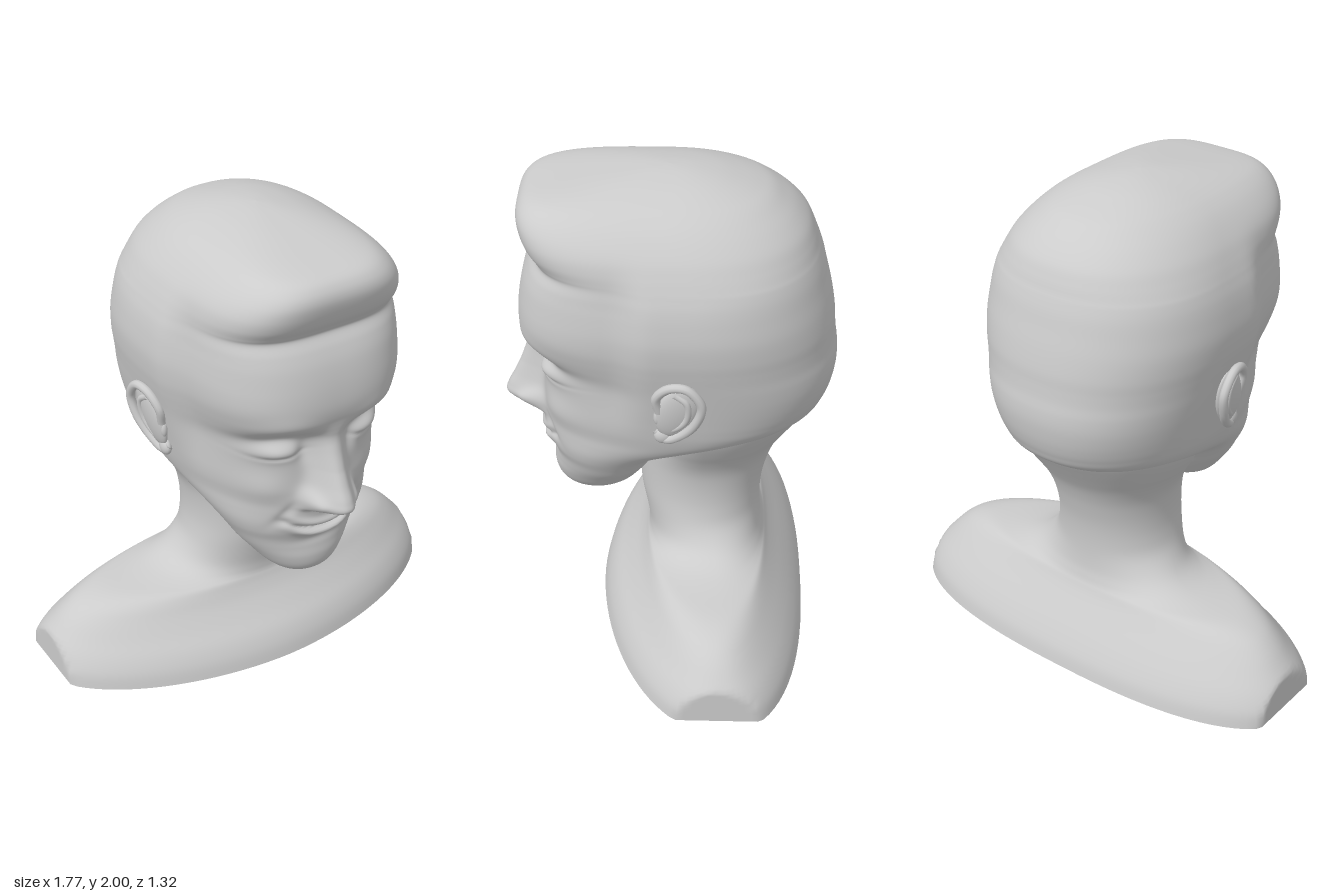
import * as THREE from 'three';

const material = new THREE.MeshStandardMaterial({ color: 0xcccccc, side: THREE.DoubleSide });
const step = THREE.MathUtils.smoothstep;
const bell = (d, s) => Math.exp(-((d / s) ** 2));

// Cross-sections from bottom to top: [y, half width, front z, back z]
const headSections = [
  [0.54, 0, 0.36, 0.36], [0.55, 0.08, 0.4, 0.28], [0.575, 0.13, 0.44, 0.19], [0.61, 0.168, 0.465, 0.13],
  [0.66, 0.207, 0.475, 0.09], [0.71, 0.245, 0.472, 0.06], [0.76, 0.275, 0.475, 0.03], [0.81, 0.305, 0.492, -0.02],
  [0.86, 0.335, 0.505, -0.13], [0.91, 0.365, 0.515, -0.32], [0.96, 0.39, 0.515, -0.51], [1.01, 0.408, 0.51, -0.598],
  [1.06, 0.42, 0.505, -0.628], [1.11, 0.43, 0.505, -0.645], [1.16, 0.44, 0.51, -0.655], [1.21, 0.45, 0.52, -0.66],
  [1.26, 0.46, 0.535, -0.658], [1.31, 0.47, 0.56, -0.65], [1.36, 0.48, 0.578, -0.645], [1.42, 0.49, 0.585, -0.64],
  [1.5, 0.495, 0.578, -0.625], [1.58, 0.487, 0.56, -0.605], [1.64, 0.475, 0.535, -0.59], [1.685, 0.46, 0.508, -0.575],
  [1.71, 0.45, 0.518, -0.565], [1.75, 0.432, 0.545, -0.55], [1.8, 0.405, 0.565, -0.525], [1.85, 0.367, 0.573, -0.48],
  [1.89, 0.328, 0.56, -0.43], [1.92, 0.288, 0.525, -0.385], [1.94, 0.252, 0.45, -0.335], [1.96, 0.205, 0.33, -0.27],
  [1.98, 0.14, 0.2, -0.19], [1.995, 0.06, 0.08, -0.09], [2, 0, 0, 0],
];
const bustSections = [
  [0, 0.955, 0.282, -0.57], [0.06, 0.945, 0.265, -0.555], [0.12, 0.912, 0.232, -0.525], [0.18, 0.862, 0.18, -0.488],
  [0.24, 0.805, 0.132, -0.448], [0.285, 0.74, 0.105, -0.42], [0.315, 0.645, 0.092, -0.405], [0.33, 0.5, 0.087, -0.398],
  [0.35, 0.4, 0.085, -0.392], [0.39, 0.325, 0.087, -0.383], [0.46, 0.272, 0.1, -0.378], [0.54, 0.25, 0.115, -0.38],
  [0.62, 0.245, 0.12, -0.39], [0.7, 0.252, 0.12, -0.41], [0.76, 0.268, 0.115, -0.43], [0.82, 0.297, 0.1, -0.457],
  [0.88, 0.333, 0.09, -0.495], [0.95, 0.37, 0.08, -0.543], [1.01, 0.392, 0.06, -0.583], [1.07, 0.4, 0.04, -0.605],
];

// Smooth interpolation between the rows of a table
function sample(table, s) {
  const last = table.length - 1;
  const i = Math.min(Math.floor(s), last - 1);
  const t = s - i;
  const at = (k) => table[THREE.MathUtils.clamp(k, 0, last)];
  return table[i].map((_, c) => {
    const a = at(i - 1)[c], b = at(i)[c], d = at(i + 1)[c], e = at(i + 2)[c];
    return b + 0.5 * t * (d - a + t * (2 * a - 5 * b + 4 * d - e + t * (3 * (b - d) + e - a)));
  });
}

// Closed rings around y; angle 0 faces the front
function loft(table, perRow, columns, place) {
  const rows = (table.length - 1) * perRow;
  const positions = [], index = [];
  for (let i = 0; i <= rows; i++) {
    const section = sample(table, i / perRow);
    for (let j = 0; j < columns; j++) {
      positions.push(...place(section, (j / columns) * Math.PI * 2));
      if (i === rows) continue;
      const a = i * columns + j, b = i * columns + ((j + 1) % columns);
      index.push(a, b, b + columns, a, b + columns, a + columns);
    }
  }
  const geometry = new THREE.BufferGeometry();
  geometry.setAttribute('position', new THREE.Float32BufferAttribute(positions, 3));
  geometry.setIndex(index);
  geometry.computeVertexNormals();
  return geometry;
}

// Point on an egg-shaped ring with separate front and back roundness
function eggPoint(w, zF, zB, zc, angle, nFront, nBack) {
  const s = Math.sin(angle), c = Math.cos(angle);
  const n = c > 0 ? nFront : nBack;
  const r = (Math.abs(s) ** n + Math.abs(c) ** n) ** (-1 / n);
  return [w * r * s, zc + r * c * (c > 0 ? zF - zc : zc - zB)];
}

// [y, height, half width] of the nose, from below the tip to the bridge
const nose = [
  [0.905, 0, 0.085], [0.925, 0.015, 0.085], [0.945, 0.1, 0.085], [0.97, 0.145, 0.082], [1.0, 0.145, 0.078],
  [1.06, 0.122, 0.068], [1.12, 0.093, 0.06], [1.2, 0.055, 0.055], [1.28, 0.018, 0.055], [1.34, 0, 0.055],
];
function noseRelief(x, y) {
  if (y <= nose[0][0] || y >= nose[nose.length - 1][0]) return 0;
  const k = nose.findIndex((p) => p[0] > y) - 1;
  const [, h, w] = sample(nose, k + (y - nose[k][0]) / (nose[k + 1][0] - nose[k][0]));
  return h * Math.exp(-((Math.abs(x) / w) ** 2.5));
}

// Forward relief of the face; x is mirrored
function faceRelief(x, y) {
  const ax = Math.abs(x);
  const spot = (px, py, sx, sy, h) => h * bell(ax - px, sx) * bell(y - py, sy);
  let d = noseRelief(x, y);
  d += spot(0.088, 0.985, 0.028, 0.035, 0.04);                         // nostril wings
  d -= spot(0.045, 0.935, 0.022, 0.01, 0.015);                         // nostrils
  d += bell(ax - 0.21, 0.14) * bell(y - 1.345 + 1.5 * (ax - 0.22) ** 2, 0.045) * 0.012; // brows
  d -= spot(0.19, 1.245, 0.11, 0.06, 0.055) + spot(0.1, 1.2, 0.035, 0.06, 0.02); // sockets
  d += spot(0.21, 1.215, 0.085, 0.042, 0.052);                         // closed eyes
  d -= bell(ax - 0.21, 0.09) * bell(y - 1.178 - 1.5 * (ax - 0.21) ** 2, 0.01) * 0.01; // lid line
  d += spot(0.25, 1.03, 0.09, 0.075, 0.022);                           // cheeks
  d -= bell(ax - 0.13 - 0.6 * (0.97 - y), 0.025) * bell(y - 0.91, 0.06) * 0.01; // smile folds
  const m = y - 1.7 * x * x;                                           // upward curve of the mouth
  const span = Math.exp(-((x / 0.135) ** 4));
  d += span * (0.018 * bell(m - 0.848, 0.019) - 0.016 * bell(m - 0.82, 0.009) + 0.024 * bell(m - 0.792, 0.02));
  d -= spot(0.165, 0.868, 0.022, 0.02, 0.012) + spot(0, 0.745, 0.11, 0.022, 0.006);
  return d;
}

function headPoint([y, w, zF, zB], t) {
  const angle = t - 0.6 * Math.sin(t); // more columns on the face
  const zc = THREE.MathUtils.lerp(zF, zB, 0.55);
  const n = 2.1 + 0.45 * step(y, 0.9, 1.2) + 0.35 * step(y, 1.25, 1.45) + 0.6 * step(y, 1.5, 1.8) * (1 - step(y, 1.93, 2));
  let [x, z] = eggPoint(Math.max(w, 0), zF, zB, zc, angle, n, 2.1 + 0.2 * step(y, 0.9, 1.2));
  // Temples sit inside the side hair
  x *= 1 - 0.085 * step(z, 0.06, 0.22) * step(y, 1.0, 1.25) * (1 - step(y, 1.6, 1.85));
  if (Math.cos(angle) > 0) z += faceRelief(x, y) * step(Math.cos(angle), 0, 0.35);
  return [x, y, z];
}

function bustPoint([y, w, zF, zB], t) {
  const zc = -0.2 + 0.06 * step(y, 0.35, 0.5);
  const chest = 1 - step(y, 0.1, 0.4);
  const [x, z] = eggPoint(w, zF, zB, zc, t, 2 - 0.15 * chest, 2.1 + 0.4 * chest);
  return [THREE.MathUtils.clamp(x, -0.885, 0.885), y, z];
}

function add(parent, name, geometry) {
  const mesh = new THREE.Mesh(geometry, material);
  mesh.name = name;
  parent.add(mesh);
  return mesh;
}

function tube(points, radius, segments) {
  const curve = new THREE.CatmullRomCurve3(points.map((p) => new THREE.Vector3(...p)));
  return new THREE.TubeGeometry(curve, segments, radius, 10);
}

// Ear on the +x side, mirrored for the other
function makeEar(side) {
  const ear = new THREE.Group();
  ear.name = side > 0 ? 'leftEar' : 'rightEar';
  const bowl = add(ear, 'earBowl', new THREE.SphereGeometry(1, 24, 16));
  bowl.scale.set(0.028, 0.135, 0.078);
  bowl.position.set(0.452, 1.195, -0.04);
  bowl.rotation.set(-0.35, 0, -0.14);
  add(ear, 'earRim', tube([
    [0.448, 1.19, 0.03], [0.463, 1.26, 0.04], [0.483, 1.318, -0.01], [0.495, 1.322, -0.075], [0.495, 1.25, -0.13],
    [0.482, 1.16, -0.11], [0.455, 1.085, -0.055], [0.432, 1.05, 0.005], [0.42, 1.085, 0.04],
  ], 0.018, 60));
  add(ear, 'earFold', tube([
    [0.475, 1.285, -0.03], [0.482, 1.25, -0.075], [0.472, 1.17, -0.075], [0.45, 1.11, -0.025], [0.43, 1.1, 0.02],
  ], 0.013, 30));
  const lobe = add(ear, 'earLobe', new THREE.SphereGeometry(1, 16, 12));
  lobe.scale.set(0.022, 0.035, 0.035);
  lobe.position.set(0.428, 1.065, 0.015);
  const tragus = add(ear, 'tragus', new THREE.SphereGeometry(1, 12, 10));
  tragus.scale.set(0.014, 0.035, 0.016);
  tragus.position.set(0.443, 1.16, 0.035);
  ear.scale.x = side;
  return ear;
}

export function createModel() {
  const model = new THREE.Group();
  model.name = 'bust';
  add(model, 'head', loft(headSections, 7, 160, headPoint));
  add(model, 'neckAndShoulders', loft(bustSections, 4, 96, bustPoint));

  // Flat underside
  const outline = [];
  for (let j = 0; j < 96; j++) {
    const [x, , z] = bustPoint(bustSections[0], (j / 96) * Math.PI * 2);
    outline.push(new THREE.Vector2(x, z));
  }
  add(model, 'base', new THREE.ShapeGeometry(new THREE.Shape(outline)).rotateX(Math.PI / 2));

  model.add(makeEar(1), makeEar(-1));
  return model;
}
